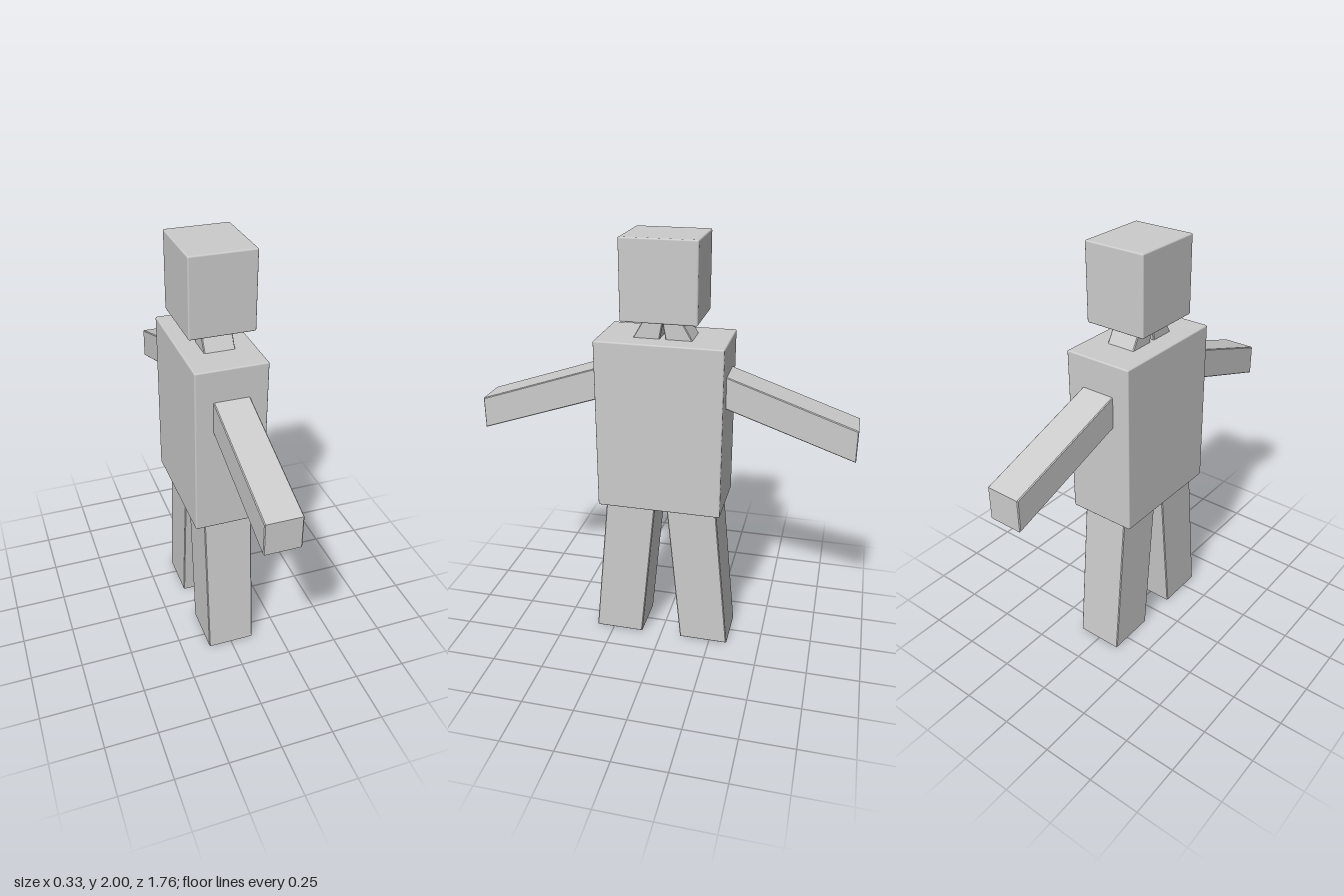
import * as THREE from 'three';
import { RoundedBoxGeometry } from 'three/addons/geometries/RoundedBoxGeometry.js';

const material = new THREE.MeshStandardMaterial({ color: 0xcccccc });

// Softly edged block spanning y0..y1
function block(name, width, y0, y1, depth) {
  const mesh = new THREE.Mesh(new RoundedBoxGeometry(width, y1 - y0, depth, 2, 0.007), material);
  mesh.position.y = (y0 + y1) / 2;
  mesh.name = name;
  return mesh;
}

// Side profile of [z, y] points, extruded across x; side = 1 or -1 mirrors it in z
function slab(name, profile, width, side) {
  const bevel = 0.004;
  const shape = new THREE.Shape(profile.map(([z, y]) => new THREE.Vector2(z * side, y)));
  const geometry = new THREE.ExtrudeGeometry(shape, {
    depth: width - 2 * bevel,
    bevelThickness: bevel,
    bevelSize: bevel,
    bevelOffset: -bevel,
    bevelSegments: 1,
  });
  geometry.translate(0, 0, bevel - width / 2);
  geometry.rotateY(-Math.PI / 2);
  const mesh = new THREE.Mesh(geometry, material);
  mesh.name = name;
  return mesh;
}

export function createModel() {
  const model = new THREE.Group();
  model.name = 'blockFigure';

  model.add(block('head', 0.3, 1.64, 2, 0.345));
  model.add(block('torso', 0.33, 0.74, 1.55, 0.586));

  // The figure spreads its limbs along z
  for (const side of [1, -1]) {
    const suffix = side > 0 ? 'Front' : 'Back';
    // Neck halves lean together, leaving a narrow notch between them
    model.add(slab('neck' + suffix, [[0.015, 1.54], [0.14, 1.54], [0.08, 1.645], [0, 1.645], [0, 1.62]], 0.14, side));
    // Arms slope down and out with upright ends
    model.add(slab('arm' + suffix, [[0.27, 1.258], [0.88, 1.05], [0.88, 1.2], [0.27, 1.408]], 0.164, side));
    // Legs splay outward to flat feet
    model.add(slab('leg' + suffix, [[0.1, 0], [0.338, 0], [0.264, 0.76], [0.026, 0.76]], 0.23, side));
  }
  return model;
}
